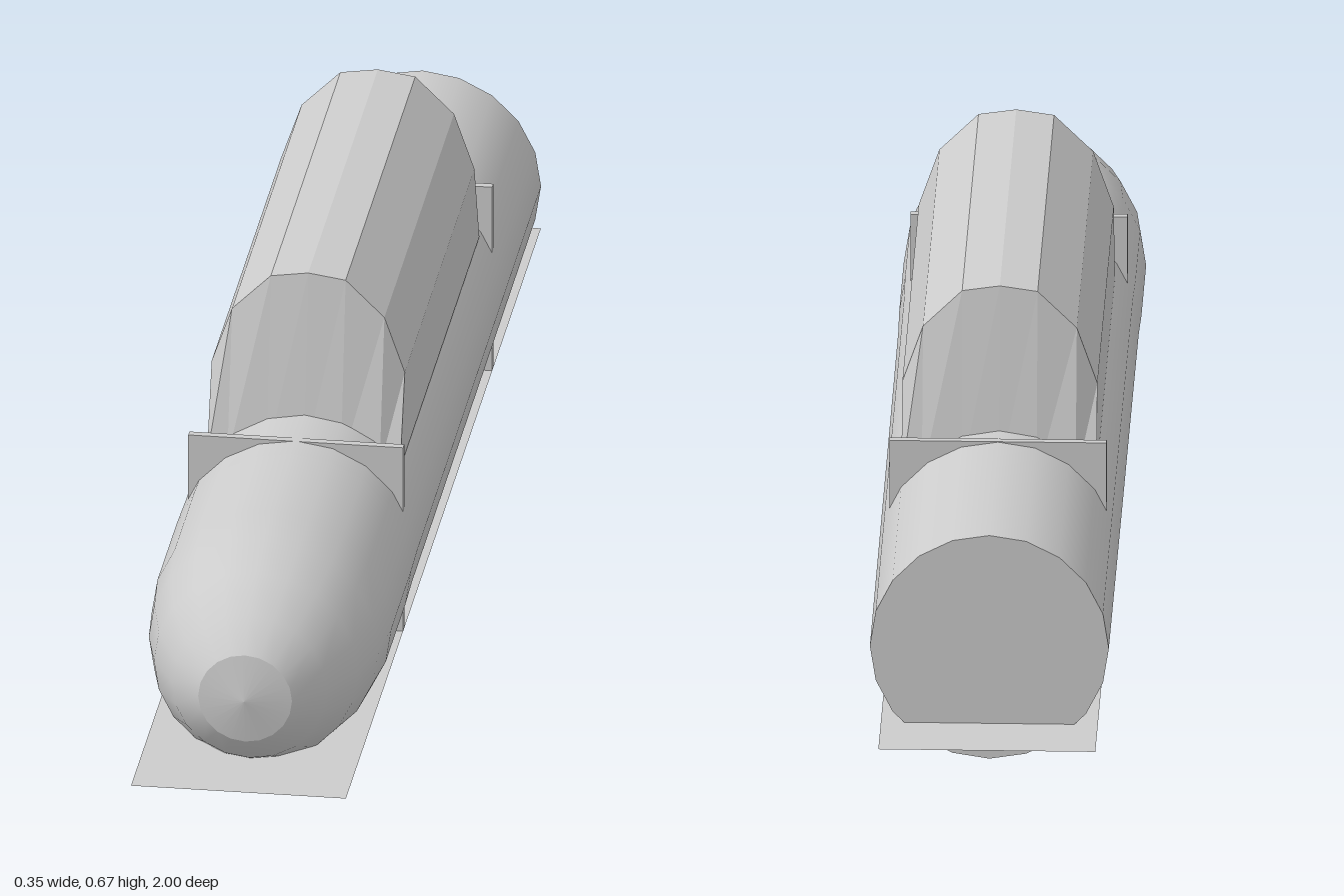
import * as THREE from 'three';

const AXIS_Y = 0.286;
const SIDES = 20;

const smoothMat = new THREE.MeshStandardMaterial({ color: 0xcccccc });
const flatMat = new THREE.MeshStandardMaterial({ color: 0xcccccc, flatShading: true });
const thinMat = new THREE.MeshStandardMaterial({ color: 0xcccccc, side: THREE.DoubleSide });

function addMesh(group, name, geometry, material) {
  const mesh = new THREE.Mesh(geometry, material);
  mesh.name = name;
  group.add(mesh);
  return mesh;
}

// Revolve [radius, z] points around the long axis of the hull
function revolve(points) {
  const geo = new THREE.LatheGeometry(points.map(([r, z]) => new THREE.Vector2(r, z)), SIDES);
  geo.rotateX(Math.PI / 2);
  geo.translate(0, AXIS_Y, 0);
  return geo;
}

// Faceted fairing: a crest profile (half, outside to centre) sloping to a flat base.
// z lists base front, crest front, crest back, base back.
function fairing(half, baseY, z) {
  const profile = [
    ...half.map(([x, y]) => [-x, y]),
    ...half.slice(0, -1).reverse(),
  ];
  const n = profile.length;
  const pos = [];
  z.forEach((zk, k) => {
    const isBase = k === 0 || k === 3;
    profile.forEach(([x, y]) => pos.push(x, isBase ? baseY : y, zk));
  });
  const downward = half[0][1] < baseY;
  const index = [];
  const quad = (a, b, c, d) => {
    if (downward) index.push(a, c, b, a, d, c);
    else index.push(a, b, c, a, c, d);
  };
  for (let k = 0; k < 4; k++) {
    const next = (k + 1) % 4;
    for (let i = 0; i < n - 1; i++) {
      quad(k * n + i, k * n + i + 1, next * n + i + 1, next * n + i);
    }
  }
  // Side walls
  const e = n - 1;
  quad(e, 3 * n + e, 2 * n + e, n + e);
  quad(0, n, 2 * n, 3 * n);
  const geo = new THREE.BufferGeometry();
  geo.setAttribute('position', new THREE.Float32BufferAttribute(pos, 3));
  geo.setIndex(index);
  const flat = geo.toNonIndexed();
  flat.computeVertexNormals();
  return flat;
}

export function createModel() {
  const model = new THREE.Group();
  model.name = 'submersible';

  // Hull: straight tube, rounded nose, blunt tip and flat tail
  addMesh(model, 'hullTube', revolve([[0.174, -0.89], [0.175, 0.38], [0.1765, 0.46]]), smoothMat);
  addMesh(model, 'nose', revolve([
    [0.1765, 0.46], [0.1765, 0.66], [0.169, 0.74], [0.15, 0.82], [0.114, 0.89], [0.069, 0.932],
  ]), smoothMat);
  addMesh(model, 'noseTip', revolve([[0.069, 0.932], [0, 0.944]]), smoothMat);
  addMesh(model, 'tailCap', revolve([[0, -0.89], [0.174, -0.89]]), smoothMat);

  // Upper housing
  addMesh(model, 'upperHousing', fairing(
    [[0.142, 0.522], [0.112, 0.608], [0.055, 0.664], [0, 0.672]],
    0.39, [0.333, 0.284, -0.43, -0.48],
  ), flatMat);

  // Lower keel
  addMesh(model, 'lowerKeel', fairing(
    [[0.103, 0.085], [0.055, 0.01], [0, 0.001]],
    0.14, [0.45, 0.333, -0.48, -0.66],
  ), flatMat);

  // Square bulkhead plates whose corners stand out of the hull
  for (const [name, z] of [['frontBulkhead', 0.407], ['rearBulkhead', -0.507]]) {
    const plate = addMesh(model, name, new THREE.BoxGeometry(0.316, 0.294, 0.012), flatMat);
    plate.position.set(0, 0.314, z);
  }

  // Thin horizontal deck sheet through the lower hull
  const deck = addMesh(model, 'deckSheet', new THREE.PlaneGeometry(0.316, 2), thinMat);
  deck.rotation.x = -Math.PI / 2;
  deck.position.y = 0.167;

  return model;
}
